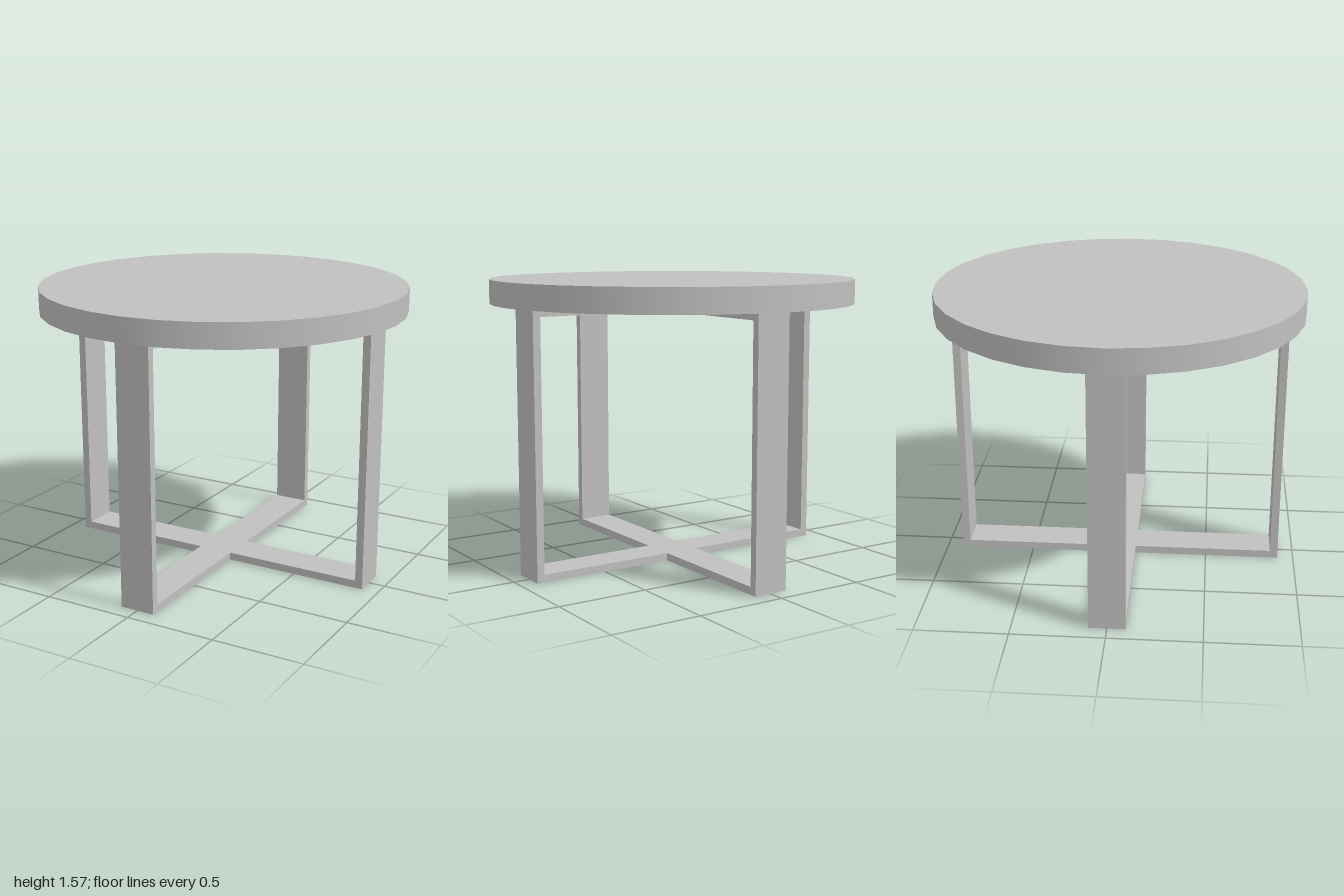
import * as THREE from 'three';

export function createModel() {
  const model = new THREE.Group();
  model.name = 'roundTable';

  const grey = new THREE.MeshStandardMaterial({ color: 0xc0c0c0 });
  grey.name = 'light grey';

  const topY = 1.57, underY = 1.438; // tabletop faces
  const reach = 0.91, half = 0.097, bar = 0.042; // frame reach, half width, thickness

  const add = (name, geometry, parent = model) => {
    const mesh = new THREE.Mesh(geometry, grey);
    mesh.name = name;
    parent.add(mesh);
    return mesh;
  };

  // Round tabletop
  add('tabletop', new THREE.CylinderGeometry(1, 1, topY - underY, 32))
    .position.y = (topY + underY) / 2;

  // Flat crossed bars, joining the inner faces of the four legs
  const r = reach - bar, h = half;
  const plus = new THREE.Shape([
    [h, h], [h, r], [-h, r], [-h, h], [-r, h], [-r, -h],
    [-h, -h], [-h, -r], [h, -r], [h, -h], [r, -h], [r, h],
  ].map(([x, y]) => new THREE.Vector2(x, y)));
  const crossGeometry = new THREE.ExtrudeGeometry(plus, { depth: bar, bevelEnabled: false });
  crossGeometry.rotateX(-Math.PI / 2);
  add('floorCross', crossGeometry);
  add('upperCross', crossGeometry).position.y = underY - bar;

  // Four flat legs, one on each side
  const legGeometry = new THREE.BoxGeometry(half * 2, underY, bar);
  legGeometry.translate(0, underY / 2, reach - bar / 2);
  ['frontLeg', 'leftLeg', 'backLeg', 'rightLeg'].forEach((name, i) => {
    add(name, legGeometry).rotation.y = i * Math.PI / 2;
  });

  return model;
}
